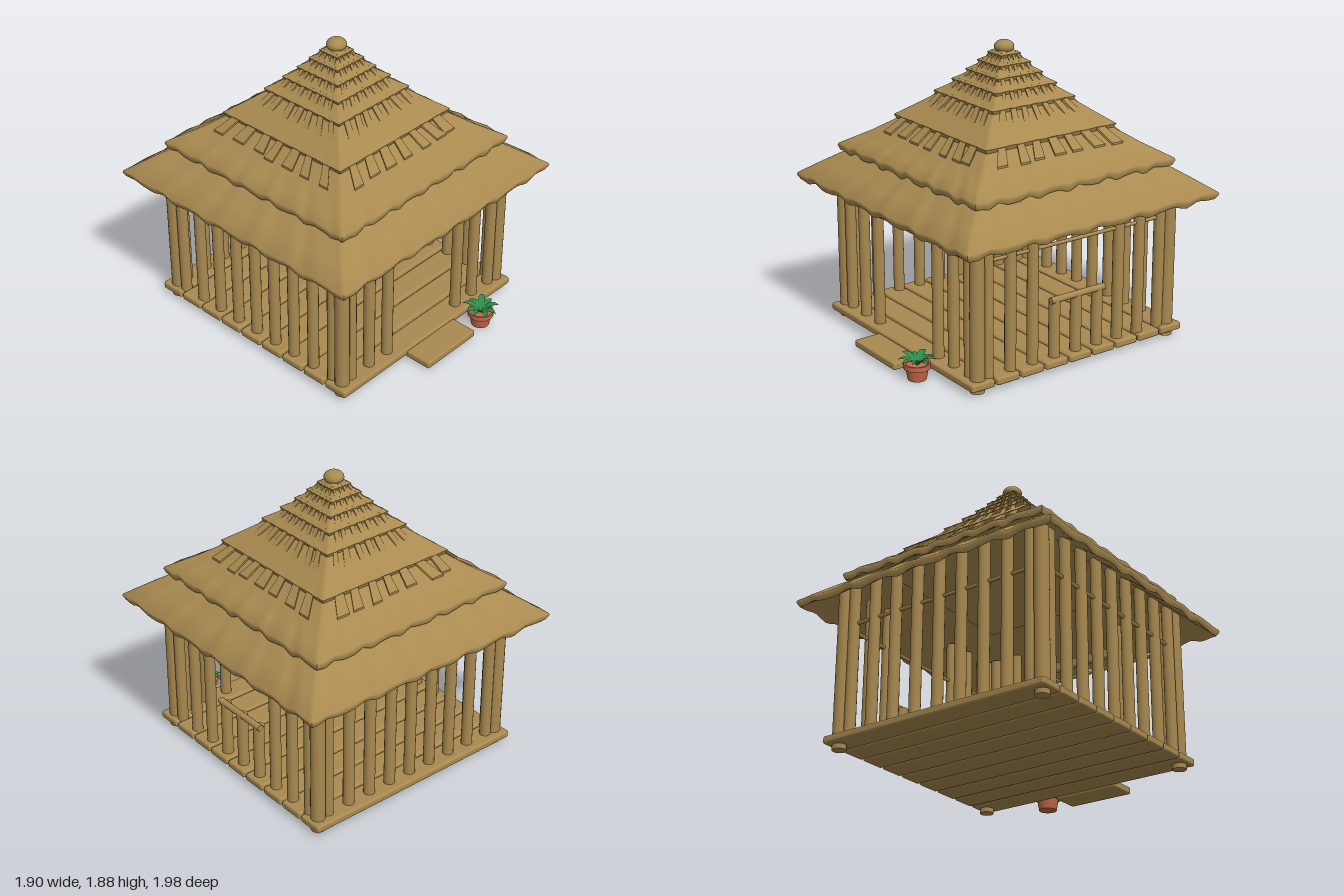
import * as THREE from 'three';
import { toCreasedNormals } from 'three/addons/utils/BufferGeometryUtils.js';
import { RoundedBoxGeometry } from 'three/addons/geometries/RoundedBoxGeometry.js';

const bamboo = new THREE.MeshStandardMaterial({ color: 0xa98a50, name: 'bamboo' });
const clay = new THREE.MeshStandardMaterial({ color: 0xc4694a, name: 'clay' });
const leafGreen = new THREE.MeshStandardMaterial({ color: 0x2f8c48, name: 'leafGreen', side: THREE.DoubleSide });

let seed = 7;
const rand = () => (seed = (seed * 16807) % 2147483647) / 2147483647;

function add(parent, name, geometry, material, x = 0, y = 0, z = 0) {
  const mesh = new THREE.Mesh(geometry, material);
  mesh.name = name;
  mesh.position.set(x, y, z);
  parent.add(mesh);
  return mesh;
}

function gridGeometry(rows, cols, pointAt) {
  const pos = [], index = [];
  for (let i = 0; i < rows; i++) for (let j = 0; j < cols; j++) pos.push(...pointAt(i, j));
  for (let i = 0; i < rows - 1; i++) for (let j = 0; j < cols - 1; j++) {
    const a = i * cols + j, b = a + cols;
    index.push(a, b, b + 1, a, b + 1, a + 1);
  }
  const g = new THREE.BufferGeometry();
  g.setAttribute('position', new THREE.Float32BufferAttribute(pos, 3));
  g.setIndex(index);
  return g;
}

// Square thatch shell: profile of [half width, height, wave weight], top to lip to underside
function thatchTier(profile, amplitude, cycles) {
  const n = 48;
  const g = gridGeometry(profile.length, 4 * n + 1, (i, j) => {
    const [h, y, w] = profile[i];
    const side = Math.floor(j / n) % 4, t = ((j % n) / n) * 2 - 1;
    const fade = Math.min(1, (1 - Math.abs(t)) * 8);
    const wave = w * fade * amplitude *
      (Math.sin(t * cycles * Math.PI + side) + 0.4 * Math.sin(t * cycles * 1.7 * Math.PI + 2 * side));
    const a = side * Math.PI / 2, c = Math.cos(a), s = Math.sin(a);
    return [t * h * c + h * s, y + wave, -t * h * s + h * c];
  });
  g.computeVertexNormals();
  return toCreasedNormals(g, 1.1);
}

// Upper roof height at a given half width
const slope = [[0.02, 1.84], [0.05, 1.8], [0.17, 1.66], [0.3, 1.525], [0.49, 1.35], [0.6, 1.27], [0.755, 1.17]];
function roofY(h) {
  let k = 1;
  while (k < slope.length - 1 && h > slope[k][0]) k++;
  const [x0, y0] = slope[k - 1], [x1, y1] = slope[k];
  return y0 + (y1 - y0) * (h - x0) / (x1 - x0);
}

// Tapered straw tuft lying down the roof, built from loops of four corners
function tuft(x, h, length, width) {
  const spread = 1 + length / h * (0.8 + 0.3 * rand()), skew = (rand() - 0.5) * width * 0.6;
  const stations = [0, 0.5, 1].map(f => {
    const z = h - 0.015 + f * (length + 0.015);
    return { cx: x * (1 + (spread - 1) * f) + skew * f, w: width * (0.36 + 0.16 * f), y: roofY(z) + 0.03 - 0.017 * f, z };
  });
  const g = gridGeometry(4, 5, (i, j) => {
    const s = stations[Math.min(i, 2)], k = j % 4;
    if (i === 3) return [s.cx, s.y - 0.006, s.z];
    const right = k === 1 || k === 2;
    return [s.cx + (right ? s.w : -s.w), s.y - (k > 1 ? 0.014 : 0), s.z];
  });
  return toCreasedNormals(g, 0.5);
}

function buildRoof(hut) {
  const roof = new THREE.Group();
  roof.name = 'roof';
  hut.add(roof);
  add(roof, 'lowerThatch', thatchTier([
    [0.58, 1.22, 0], [0.72, 1.13, 0.1], [0.84, 1.045, 0.5], [0.948, 0.965, 0.6], [0.952, 0.95, 0.8],
    [0.935, 0.92, 1], [0.92, 0.935, 1], [0.82, 1.01, 0.4], [0.7, 1.095, 0], [0.56, 1.19, 0]], 0.011, 7), bamboo);
  add(roof, 'upperThatch', thatchTier([
    ...slope.slice(0, -1).map(([h, y]) => [h, y, 0]), [0.68, 1.22, 0.4], [0.752, 1.175, 0.6], [0.757, 1.16, 0.8],
    [0.745, 1.13, 1], [0.73, 1.14, 1], [0.6, 1.23, 0.2], [0.3, 1.485, 0], [0.02, 1.79, 0]], 0.011, 7.5), bamboo);

  // Overlapping collars, each with a fringe of tufts: half width, tuft length, tufts per side
  const rows = [[0.495, 0.09, 7], [0.315, 0.088, 7], [0.235, 0.06, 7], [0.172, 0.05, 6], [0.12, 0.045, 5], [0.075, 0.04, 4]];
  rows.forEach(([h, length, count], r) => {
    const top = r < 5 ? rows[r + 1][0] - 0.01 : 0.02;
    const mid = (h + top) / 2;
    add(roof, 'thatchCollar', thatchTier([
      [top, roofY(top) + 0.004, 0], [mid, roofY(mid) + 0.018, 0], [h, roofY(h) + 0.034, 0.3],
      [h - 0.012, roofY(h) + 0.004, 0], [h - 0.025, roofY(h) + 0.004, 0]], 0.005, 6), bamboo);
    for (let side = 0; side < 4; side++) for (let i = 0; i < count; i++) {
      const pitch = 1.72 * h / count;
      const x = (i - (count - 1) / 2) * pitch + (rand() - 0.5) * pitch * 0.25;
      const mesh = add(roof, 'strawTuft', tuft(x, h, length * (0.85 + 0.2 * rand()), pitch * (0.55 + 0.2 * rand())), bamboo);
      mesh.rotation.y = side * Math.PI / 2;
    }
  });
  add(roof, 'finial', new THREE.SphereGeometry(0.063, 24, 16), bamboo, 0, 1.842, 0).scale.y = 0.68;
}

function buildWalls(hut) {
  const W = 0.735;
  const post = (name, r, top, x, z) =>
    add(hut, name, new THREE.CylinderGeometry(r, r, top - 0.07, 16), bamboo, x, (top + 0.07) / 2, z);
  for (const x of [-W, W]) for (const z of [-W, W]) {
    post('cornerPost', 0.046, 1.07, x, z);
    add(hut, 'foot', new THREE.CylinderGeometry(0.045, 0.045, 0.05, 16), bamboo, x, 0.025, z);
  }
  // Bamboo poles, with a doorway in front and a window on the model's left
  for (let i = -4; i <= 4; i++) {
    const p = i * 0.165, middle = Math.abs(i) < 2;
    post('backPole', 0.036, 1.07, p, -W);
    post('rightPole', 0.036, 1.07, -W, p);
    post('leftPole', 0.036, middle ? 0.45 : 1.07, W, p);
    if (!middle) post('frontPole', 0.036, 1.07, p, W);
  }
  for (const s of [-1, 1]) {
    add(hut, 'crossRail', new THREE.CylinderGeometry(0.012, 0.012, 1.4, 10), bamboo, 0, 0.805, s * W).rotation.z = Math.PI / 2;
    add(hut, 'sideRail', new THREE.CylinderGeometry(0.012, 0.012, 1.4, 10), bamboo, s * W, 0.805, 0).rotation.x = Math.PI / 2;
  }
  add(hut, 'windowSill', new THREE.CylinderGeometry(0.021, 0.021, 0.41, 14), bamboo, W + 0.015, 0.453, 0).rotation.x = Math.PI / 2;
  add(hut, 'doorHeader', new RoundedBoxGeometry(0.51, 0.06, 0.04, 2, 0.008), bamboo, 0, 0.92, W + 0.03);
}

function buildPlant(parent) {
  const plant = new THREE.Group();
  plant.name = 'pottedPlant';
  plant.position.set(0.37, 0, 0.872);
  parent.add(plant);
  const profile = [[0, 0], [0.058, 0], [0.07, 0.07], [0.083, 0.072], [0.083, 0.105], [0.072, 0.105], [0.068, 0.09], [0, 0.09]]
    .map(([x, y]) => new THREE.Vector2(x, y));
  add(plant, 'pot', toCreasedNormals(new THREE.LatheGeometry(profile, 24), 0.6), clay);
  for (let i = 0; i < 9; i++) {
    const length = 0.105 + 0.02 * rand(), lift = 0.045 + 0.015 * (i % 2);
    const g = gridGeometry(6, 3, (r, c) => {
      const t = r / 5, w = 0.024 * Math.sin(Math.PI * (0.12 + 0.88 * t)) * (c - 1);
      return [w, 0.088 + lift * Math.sin(t * 2.1) + Math.abs(w) * 0.3, length * t];
    });
    g.computeVertexNormals();
    add(plant, 'leaf', g, leafGreen).rotation.y = i * Math.PI * 2 / 9 + 0.2 * rand();
  }
}

export function createModel() {
  const model = new THREE.Group();
  model.name = 'thatchedHut';
  const hut = new THREE.Group();
  hut.name = 'hut';
  hut.position.z = -0.045;
  model.add(hut);

  // Floor planks and entrance step
  for (let i = -4; i <= 4; i++)
    add(hut, 'floorPlank', new RoundedBoxGeometry(1.6, 0.05, 0.168, 3, 0.015), bamboo, 0, 0.056, i * 0.183);
  add(model, 'step', new RoundedBoxGeometry(0.45, 0.048, 0.19, 3, 0.012), bamboo, 0, 0.038, 0.85);

  buildWalls(hut);
  buildRoof(hut);
  buildPlant(model);
  return model;
}
